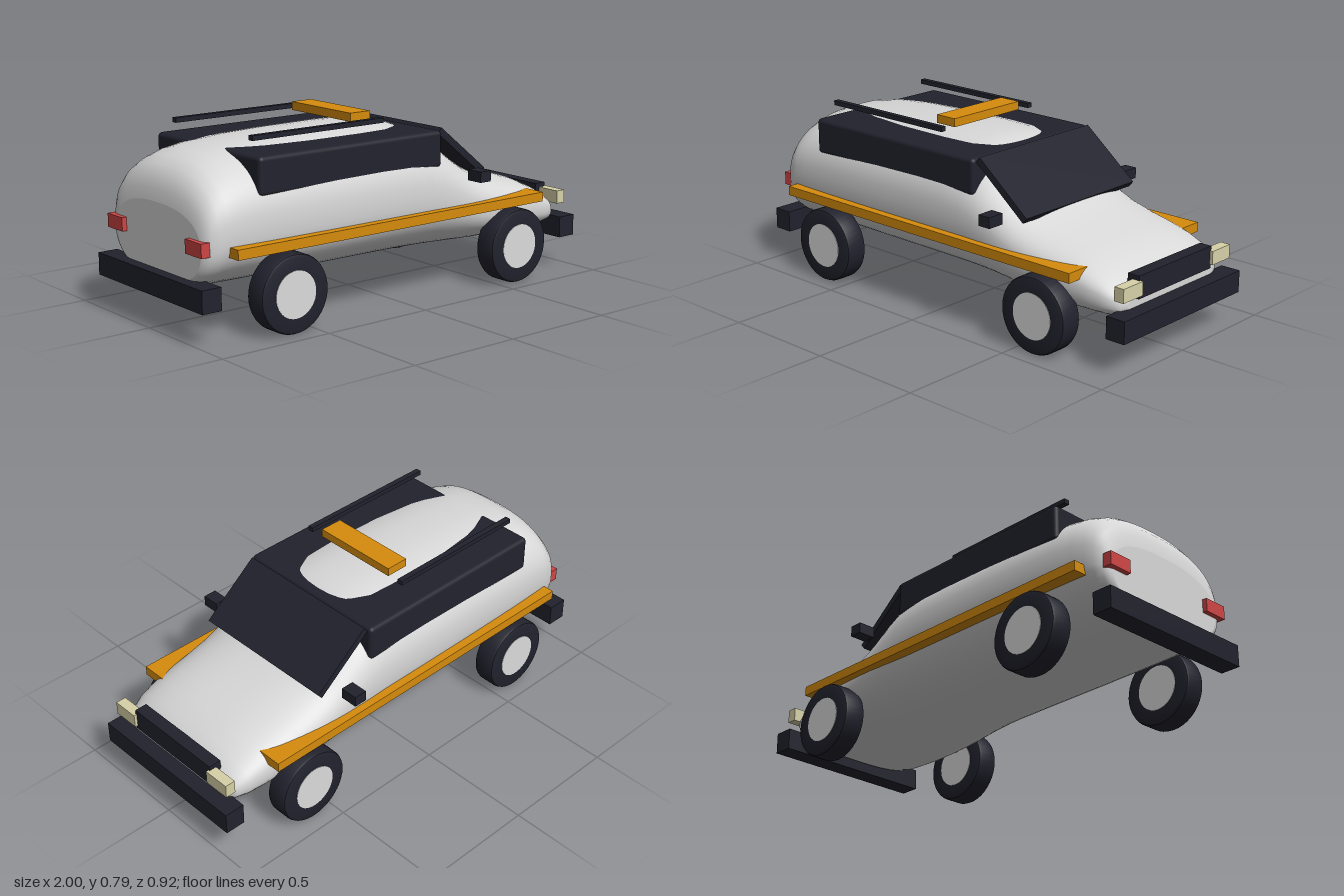
import * as THREE from 'three';
import { toCreasedNormals } from 'three/addons/utils/BufferGeometryUtils.js';
import { RoundedBoxGeometry } from 'three/addons/geometries/RoundedBoxGeometry.js';

const paint = (name, color) => {
  const m = new THREE.MeshStandardMaterial({ color });
  m.name = name;
  return m;
};

// Body stations along the car: x, half width, bottom, top, roundness exponent
const STATIONS = [
  [-0.953, 0.30, 0.205, 0.50, 2.5], [-0.947, 0.322, 0.19, 0.55, 2.5],
  [-0.93, 0.342, 0.178, 0.60, 2.5], [-0.90, 0.355, 0.172, 0.638, 2.5],
  [-0.86, 0.363, 0.17, 0.667, 2.4], [-0.80, 0.368, 0.17, 0.689, 2.4],
  [-0.70, 0.373, 0.168, 0.706, 2.4], [-0.55, 0.377, 0.167, 0.717, 2.4],
  [-0.35, 0.38, 0.166, 0.723, 2.4], [-0.10, 0.381, 0.165, 0.725, 2.4],
  [0.05, 0.381, 0.164, 0.722, 2.4], [0.14, 0.38, 0.163, 0.71, 2.4],
  [0.21, 0.38, 0.162, 0.685, 2.4], [0.28, 0.379, 0.161, 0.64, 2.4],
  [0.36, 0.378, 0.16, 0.575, 2.4], [0.43, 0.376, 0.16, 0.525, 2.45],
  [0.50, 0.374, 0.16, 0.49, 2.5], [0.60, 0.37, 0.16, 0.456, 2.6],
  [0.70, 0.364, 0.162, 0.43, 2.7], [0.78, 0.357, 0.165, 0.406, 2.7],
  [0.85, 0.347, 0.17, 0.375, 2.7], [0.90, 0.33, 0.178, 0.343, 2.6],
  [0.925, 0.305, 0.19, 0.315, 2.5], [0.935, 0.27, 0.205, 0.29, 2.5],
];

// Skin of superellipse rings with flat ends
function bodyGeometry() {
  const N = 56, pos = [], idx = [];
  const ring = ([x, w, lo, hi, n]) => {
    for (let j = 0; j < N; j++) {
      const t = (j / N) * Math.PI * 2, c = Math.cos(t), s = Math.sin(t);
      const p = (v) => Math.sign(v) * Math.abs(v) ** (2 / n);
      pos.push(x, (lo + hi) / 2 + ((hi - lo) / 2) * p(s), w * p(c));
    }
  };
  STATIONS.forEach(ring);
  for (let i = 0; i < STATIONS.length - 1; i++) {
    for (let j = 0; j < N; j++) {
      const k = (j + 1) % N, a = i * N + j, b = i * N + k;
      idx.push(a, a + N, b + N, a, b + N, b);
    }
  }
  // End caps have their own vertices so the rims stay sharp
  [STATIONS[0], STATIONS[STATIONS.length - 1]].forEach((st, end) => {
    const base = pos.length / 3;
    ring(st);
    for (let j = 1; j < N - 1; j++) {
      if (end) idx.push(base, base + j + 1, base + j);
      else idx.push(base, base + j, base + j + 1);
    }
  });
  const g = new THREE.BufferGeometry();
  g.setAttribute('position', new THREE.Float32BufferAttribute(pos, 3));
  g.setIndex(idx);
  g.computeVertexNormals();
  return g;
}

export function createModel() {
  const car = new THREE.Group();
  car.name = 'car';
  const white = paint('bodyWhite', 0xd8d8d8);
  const dark = paint('darkTrim', 0x22222e);
  const orange = paint('orange', 0xd68c0c);
  const cream = paint('lampCream', 0xd8d2a8);
  const red = paint('lampRed', 0xd04545);
  const silver = paint('hubSilver', 0xdcdcdc);

  const add = (name, geo, mat, x = 0, y = 0, z = 0) => {
    const m = new THREE.Mesh(geo, mat);
    m.name = name;
    m.position.set(x, y, z);
    car.add(m);
    return m;
  };
  // Box given by its limits on each axis
  const box = (name, mat, x0, x1, y0, y1, z0, z1) =>
    add(name, new THREE.BoxGeometry(x1 - x0, y1 - y0, z1 - z0), mat,
      (x0 + x1) / 2, (y0 + y1) / 2, (z0 + z1) / 2);
  // Same box on both sides of the car
  const pair = (name, mat, x0, x1, y0, y1, z0, z1) => {
    box(name + 'Left', mat, x0, x1, y0, y1, -z1, -z0);
    box(name + 'Right', mat, x0, x1, y0, y1, z0, z1);
  };

  add('body', bodyGeometry(), white);

  // Glasshouse and windscreen
  add('sideWindows', new RoundedBoxGeometry(0.93, 0.155, 0.716, 3, 0.018), dark, -0.253, 0.622, 0);
  const screen = add('windscreen', new THREE.BoxGeometry(0.32, 0.03, 0.67), dark, 0.343, 0.595, 0);
  screen.rotation.z = -0.674;

  // Bumpers, grille and side stripe
  box('frontBumper', dark, 0.912, 1, 0.14, 0.233, -0.373, 0.373);
  box('rearBumper', dark, -1, -0.912, 0.14, 0.233, -0.373, 0.373);
  box('grille', dark, 0.9, 0.955, 0.27, 0.364, -0.232, 0.232);
  box('sideStripe', orange, -0.86, 0.76, 0.333, 0.374, -0.411, 0.411);

  // Lamps and mirrors
  pair('headlight', cream, 0.923, 0.968, 0.287, 0.345, 0.225, 0.342);
  pair('tailLight', red, -0.974, -0.93, 0.343, 0.4, 0.225, 0.335);
  pair('mirror', dark, 0.337, 0.395, 0.478, 0.524, 0.382, 0.459);

  // Roof rails and light bar
  pair('roofRail', dark, -0.692, -0.04, 0.748, 0.768, 0.252, 0.277);
  box('lightBar', orange, -0.145, -0.043, 0.752, 0.788, -0.196, 0.196);

  // Wheels
  const profile = [[0.09, -0.05], [0.147, -0.05], [0.157, -0.046], [0.161, -0.037],
    [0.161, 0.037], [0.157, 0.046], [0.147, 0.05], [0.09, 0.05]];
  const tyre = toCreasedNormals(new THREE.LatheGeometry(
    profile.map(([r, h]) => new THREE.Vector2(r, h)), 40), 0.6);
  const hub = new THREE.CylinderGeometry(0.096, 0.096, 0.104, 40);
  for (const x of [-0.61, 0.596]) {
    for (const z of [-0.386, 0.386]) {
      const side = (x > 0 ? 'front' : 'rear') + (z > 0 ? 'Right' : 'Left');
      add(side + 'Tyre', tyre, dark, x, 0.163, z).rotation.x = Math.PI / 2;
      add(side + 'Hub', hub, silver, x, 0.163, z).rotation.x = Math.PI / 2;
    }
  }

  return car;
}
